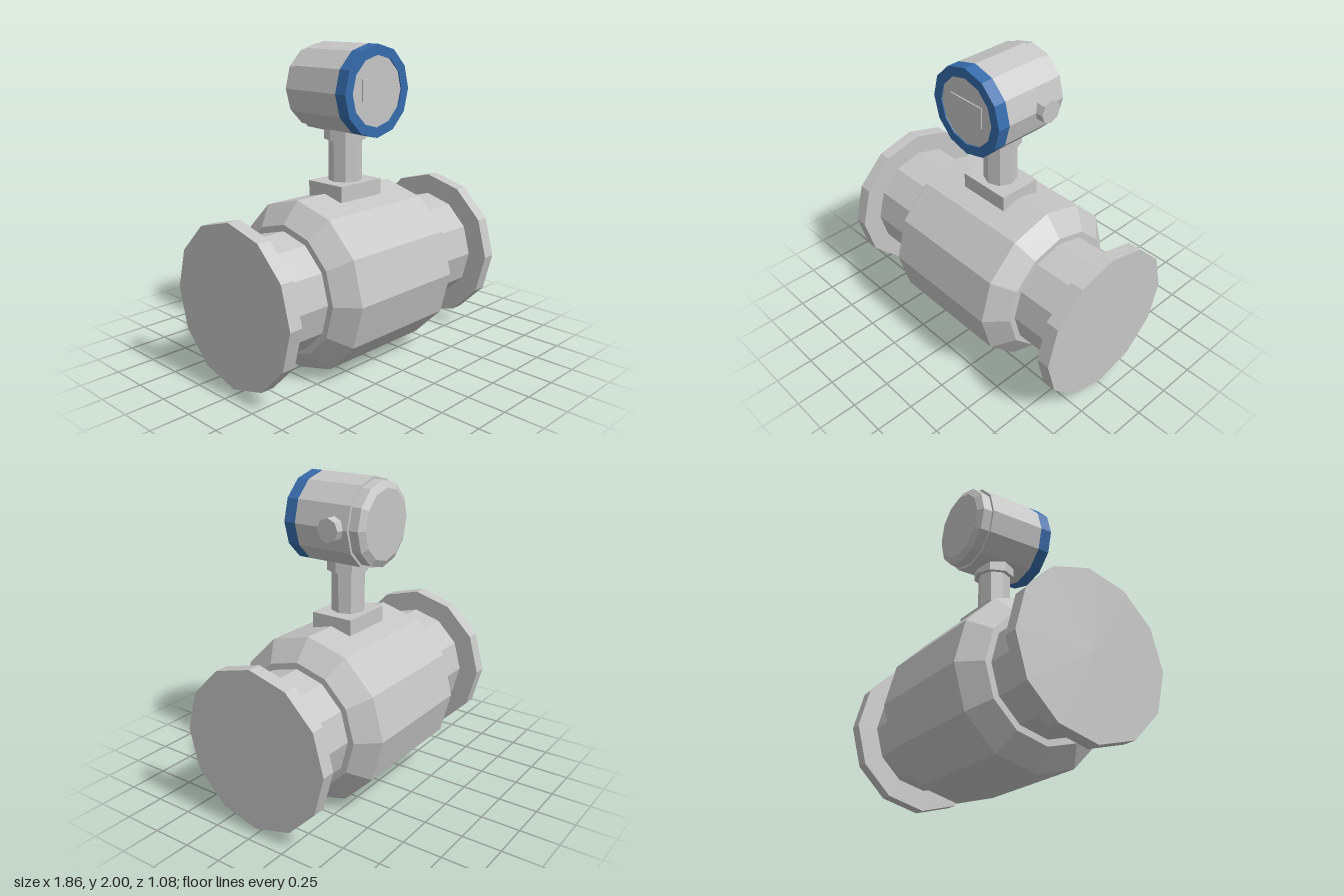
import * as THREE from 'three';

export function createModel() {
  const model = new THREE.Group();
  model.name = 'flowMeter';
  const grey = new THREE.MeshStandardMaterial({ color: 0xc6c6c6, flatShading: true });
  grey.name = 'light grey metal';
  const blue = new THREE.MeshStandardMaterial({ color: 0x366bab, flatShading: true });
  blue.name = 'blue ring';

  function add(name, geometry, material, x = 0, y = 0, z = 0) {
    const mesh = new THREE.Mesh(geometry, material);
    mesh.name = name;
    mesh.position.set(x, y, z);
    model.add(mesh);
    return mesh;
  }
  // Faceted solid of revolution from [radius, height] pairs, lowest first
  const turned = (profile, sides) =>
    new THREE.LatheGeometry(profile.map(([r, h]) => new THREE.Vector2(r, h)), sides);
  const alongX = (g) => g.rotateZ(-Math.PI / 2);
  const alongZ = (g) => g.rotateX(Math.PI / 2);

  // Pipe section, lying along x
  const pipeY = 0.545;
  add('meterBody', alongX(turned(
    [[0, -0.52], [0.41, -0.52], [0.54, -0.41], [0.54, 0.41], [0.41, 0.52], [0, 0.52]], 12)), grey, 0, pipeY);
  for (const [side, s] of [['left', 1], ['right', -1]]) {
    add(side + 'Pipe', alongX(new THREE.CylinderGeometry(0.37, 0.37, 0.335, 12, 1, true)), grey, s * 0.6825, pipeY);
    add(side + 'Flange', alongX(new THREE.CylinderGeometry(0.505, 0.505, 0.087, 12)), grey, s * 0.8885, pipeY);
  }

  // Mounting block, neck and collar
  add('mountingBlock', new THREE.BoxGeometry(0.355, 0.1, 0.285), grey, 0, 1.1);
  add('neck', new THREE.CylinderGeometry(0.105, 0.105, 0.3, 8), grey, 0, 1.28);
  add('collar', new THREE.CylinderGeometry(0.131, 0.131, 0.09, 8), grey, 0, 1.455);

  // Transmitter housing, lying along z
  const headY = 1.722;
  add('housing', alongZ(turned([[0, -0.19], [0.278, -0.19], [0.278, 0.19]], 12)), grey, 0, headY);
  add('rearCap', alongZ(turned(
    [[0, -0.278], [0.218, -0.278], [0.262, -0.253], [0.262, -0.185]], 12)), grey, 0, headY);

  // Blue front ring around the recessed face
  add('frontRing', alongZ(turned(
    [[0.278, 0.19], [0.278, 0.27], [0.215, 0.27], [0.215, 0.262]], 12)), blue, 0, headY);
  add('frontFace', alongZ(turned([[0.215, 0.262], [0, 0.262]], 12)), grey, 0, headY);
  add('displayPanel', new THREE.BoxGeometry(0.26, 0.13, 0.009), grey, 0, 1.735, 0.2655);

  // Cable entry on the left side
  add('cableEntry', alongX(new THREE.CylinderGeometry(0.073, 0.073, 0.1, 8)), grey, 0.277, headY, -0.087);

  return model;
}
